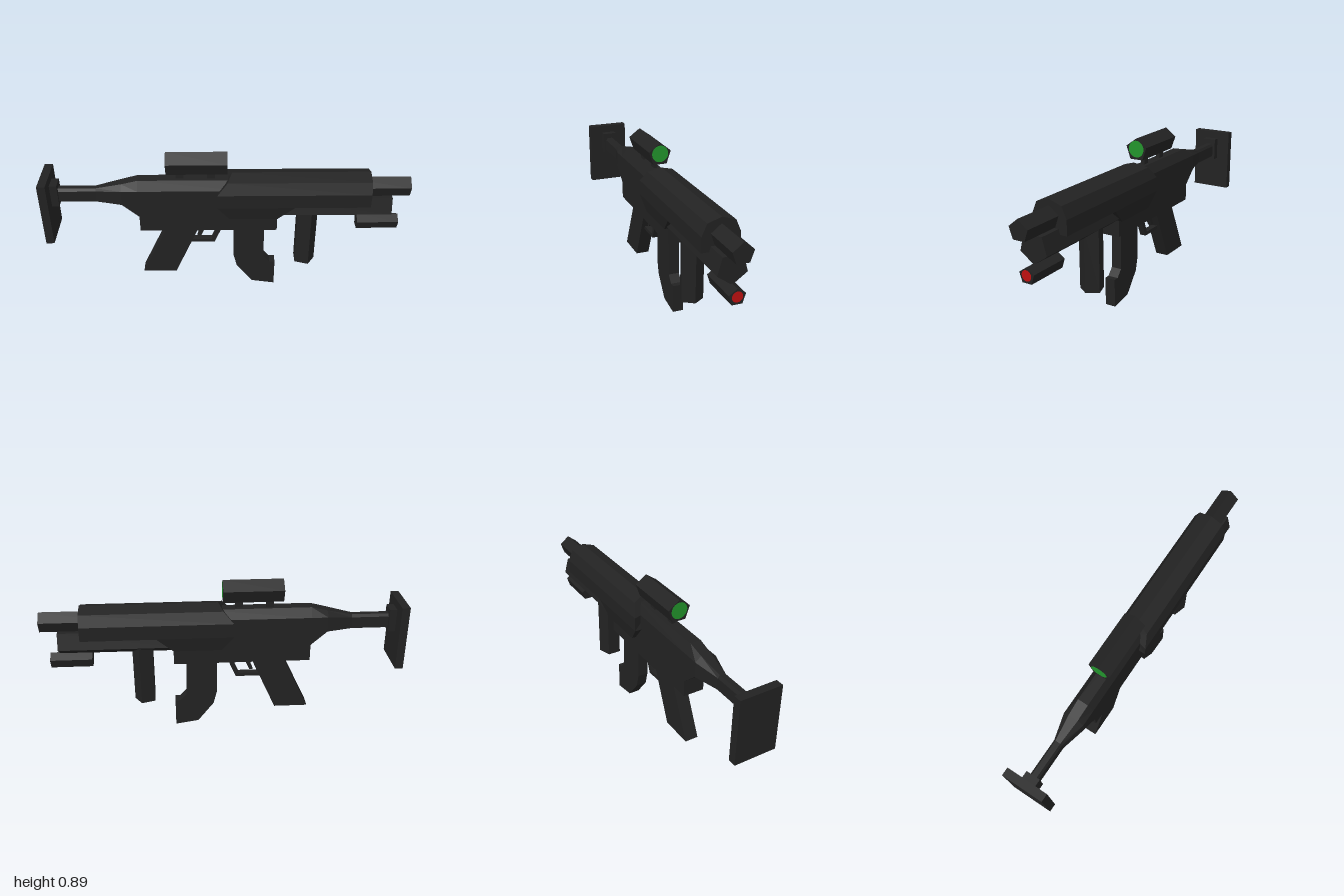
import * as THREE from 'three';

const gunmetal = new THREE.MeshStandardMaterial({ color: 0x222222, flatShading: true });
gunmetal.name = 'gunmetal';
const lensGreen = new THREE.MeshStandardMaterial({ color: 0x22942c });
lensGreen.name = 'lensGreen';
const laserRed = new THREE.MeshStandardMaterial({ color: 0xbe1010 });
laserRed.name = 'laserRed';

export function createModel() {
  const model = new THREE.Group();

  const add = (name, geometry, material = gunmetal) => {
    const mesh = new THREE.Mesh(geometry, material);
    mesh.name = name;
    model.add(mesh);
    return mesh;
  };

  // Box given by its limits, symmetric in z
  const box = (name, x0, x1, y0, y1, halfZ) => {
    const mesh = add(name, new THREE.BoxGeometry(x1 - x0, y1 - y0, halfZ * 2));
    mesh.position.set((x0 + x1) / 2, (y0 + y1) / 2, 0);
  };

  // Side outline extruded across z
  const plate = (name, points, halfZ) => {
    const shape = new THREE.Shape(points.map(([x, y]) => new THREE.Vector2(x, y)));
    const geometry = new THREE.ExtrudeGeometry(shape, { depth: halfZ * 2, bevelEnabled: false });
    add(name, geometry.translate(0, 0, -halfZ));
  };

  // Skin over half sections [x, y, z] (top to bottom), mirrored in z and capped
  const loft = (name, halves) => {
    const rings = halves.map((half) => {
      const mirrored = half.filter((p) => p[2] > 0).reverse().map(([x, y, z]) => [x, y, -z]);
      return [...half, ...mirrored];
    });
    const n = rings[0].length;
    const out = [];
    const centre = (ring) => [0, 1, 2].map((k) => ring.reduce((s, p) => s + p[k], 0) / n);
    const first = rings[0];
    const last = rings[rings.length - 1];
    const c0 = centre(first);
    const c1 = centre(last);
    for (let j = 0; j < n; j++) {
      const k = (j + 1) % n;
      for (let i = 0; i < rings.length - 1; i++) {
        const [a, b, c, d] = [rings[i][j], rings[i][k], rings[i + 1][k], rings[i + 1][j]];
        out.push(...a, ...b, ...c, ...a, ...c, ...d);
      }
      out.push(...c0, ...first[k], ...first[j], ...c1, ...last[j], ...last[k]);
    }
    const geometry = new THREE.BufferGeometry();
    geometry.setAttribute('position', new THREE.Float32BufferAttribute(out, 3));
    geometry.computeVertexNormals();
    add(name, geometry);
  };

  // Constant section along x; profile is [y, z]
  const bar = (name, x0, x1, profile) =>
    loft(name, [x0, x1].map((x) => profile.map(([y, z]) => [x, y, z])));

  // Round lens lying on an end face
  const lens = (name, x, y, radius, side, material) => {
    const mesh = add(name, new THREE.CircleGeometry(radius, 20), material);
    mesh.rotation.y = (side * Math.PI) / 2;
    mesh.position.set(x + side * 0.002, y, 0);
  };

  // Stock
  box('buttPlate', -1, -0.955, 0.375, 0.745, 0.118);
  box('buttCollar', -0.955, -0.915, 0.57, 0.7, 0.04);

  // Stock tube flaring into the upper receiver: x, top, shoulder, bottom, top half width, half width
  const stations = [
    [-0.915, 0.67, 0.655, 0.59, 0.015, 0.025],
    [-0.71, 0.67, 0.655, 0.59, 0.015, 0.025],
    [-0.57, 0.703, 0.675, 0.59, 0.028, 0.06],
    [-0.48, 0.726, 0.675, 0.51, 0.03, 0.06],
    [0.1, 0.726, 0.675, 0.51, 0.03, 0.06],
  ];
  loft('upperReceiver', stations.map(([x, top, shoulder, bottom, tw, w]) =>
    [[x, top, tw], [x, shoulder, w], [x, bottom, w]]));
  box('lowerReceiver', -0.48, 0.28, 0.415, 0.512, 0.06);

  // Handguard with a sloped rear edge, and its tapered lower shell
  const guard = [[0.03, 0.757, 0], [0.005, 0.733, 0.073], [-0.05, 0.67, 0.1], [-0.05, 0.59, 0.1]];
  loft('handguard', [guard, guard.map(([, y, z]) => [0.78, y, z])]);
  loft('handguardLowerShell', [
    [[-0.05, 0.59, 0.1], [0.015, 0.507, 0.083]],
    [[0.37, 0.59, 0.1], [0.28, 0.507, 0.083]],
  ]);

  // Five-sided tubes at the muzzle end
  bar('barrel', 0.6, 1, [[0.725, 0], [0.682, 0.054], [0.622, 0.033]]);
  bar('underBarrelTube', 0.25, 0.905, [[0.618, 0.052], [0.527, 0.077], [0.472, 0]]);
  bar('laserHousing', 0.73, 0.96, [[0.48, 0], [0.45, 0.043], [0.4, 0.027]]);
  lens('laserLens', 0.96, 0.439, 0.028, 1, laserRed);

  // Scope
  bar('scopeBody', -0.325, 0.005, [[0.886, 0], [0.84, 0.063], [0.768, 0.038]]);
  for (const x of [-0.275, -0.105]) box('scopeMount', x, x + 0.043, 0.72, 0.78, 0.011);
  lens('scopeFrontLens', 0.005, 0.827, 0.047, 1, lensGreen);
  lens('scopeRearLens', -0.325, 0.827, 0.047, -1, lensGreen);

  // Grips and magazine
  plate('pistolGrip', [[-0.482, 0.105], [-0.293, 0.105], [-0.15, 0.43], [-0.33, 0.43]], 0.038);
  plate('magazine', [
    [0.04, 0.43], [0.04, 0.215], [0.06, 0.135], [0.15, 0.02], [0.28, 0],
    [0.28, 0.16], [0.25, 0.16], [0.215, 0.2], [0.21, 0.43],
  ], 0.03);
  const foregrip = new THREE.Shape([
    [0.51, 0], [0.47, 0.062], [0.395, 0.038], [0.395, -0.038], [0.47, -0.062],
  ].map(([x, z]) => new THREE.Vector2(x, z)));
  add('foregrip', new THREE.ExtrudeGeometry(foregrip, { depth: 0.36, bevelEnabled: false })
    .rotateX(-Math.PI / 2).translate(0, 0.168, 0));

  // Trigger and its guard
  plate('triggerGuard', [
    [-0.22, 0.302], [-0.068, 0.302], [-0.018, 0.42], [-0.042, 0.42], [-0.083, 0.322], [-0.22, 0.322],
  ], 0.018);
  plate('trigger', [[-0.165, 0.342], [-0.145, 0.342], [-0.11, 0.42], [-0.135, 0.42]], 0.012);

  return model;
}
